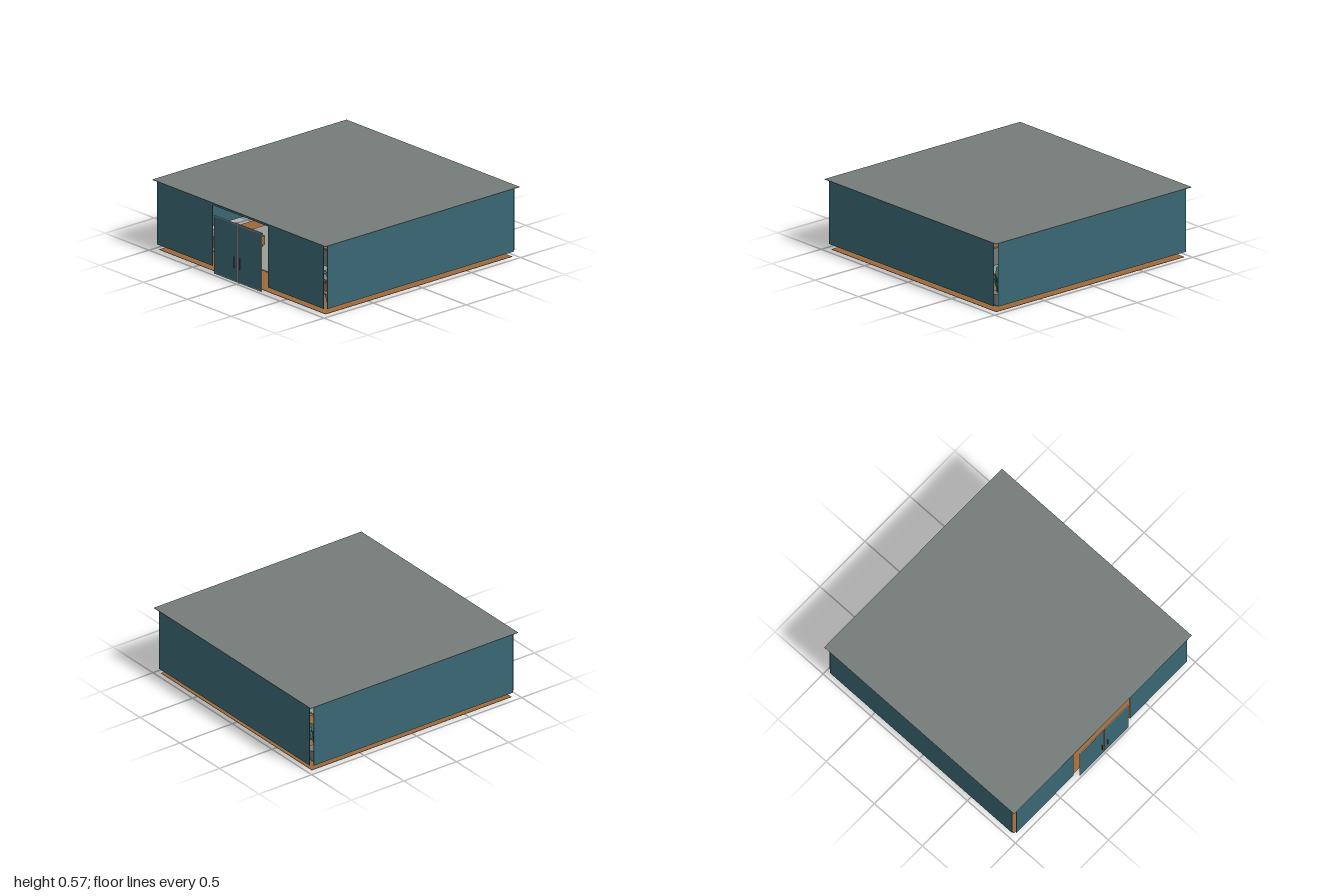
import * as THREE from 'three';

export function createModel() {
  const root = new THREE.Group();
  root.name = 'pavilion';

  const mat = (name, color) => {
    const m = new THREE.MeshStandardMaterial({ color });
    m.name = name;
    return m;
  };
  const teal = mat('teal', 0x3a6873);
  const grey = mat('grey', 0x767c7a);
  const paleGrey = mat('pale grey', 0x9a9c9a);
  const darkGrey = mat('dark grey', 0x4a4e50);
  const wood = mat('wood', 0x9c6a3c);
  const darkWood = mat('dark wood', 0x6e4a32);
  const leaf = mat('leaf', 0x2f6660);
  leaf.side = THREE.DoubleSide;

  const add = (name, geometry, material, x, y, z, parent = root) => {
    const m = new THREE.Mesh(geometry, material);
    m.name = name;
    m.position.set(x, y, z);
    parent.add(m);
    return m;
  };
  // Box given by its ranges on each axis
  const box = (name, material, [x0, x1], [y0, y1], [z0, z1], parent) =>
    add(name, new THREE.BoxGeometry(x1 - x0, y1 - y0, z1 - z0), material,
      (x0 + x1) / 2, (y0 + y1) / 2, (z0 + z1) / 2, parent);

  const mid = -0.01; // centre of the room along z

  // Foundation, floor, rug and roof
  box('foundation', grey, [-0.935, 0.935], [0, 0.002], [mid - 0.935, mid + 0.935]);
  box('floor', wood, [-0.95, 0.95], [0.002, 0.005], [mid - 0.95, mid + 0.95]);
  box('rug', paleGrey, [-0.8, 0.8], [0.005, 0.012], [-0.43, 0.66]);
  box('roof', grey, [-0.988, 0.988], [0.566, 0.57], [-1, 0.975]);

  // Raised walls with open corners
  const bottom = 0.052, top = 0.566;
  const front = new THREE.Shape([
    [-0.95, bottom], [-0.315, bottom], [-0.315, 0.545], [0.315, 0.545],
    [0.315, bottom], [0.95, bottom], [0.95, top], [-0.95, top],
  ].map(([x, y]) => new THREE.Vector2(x, y)));
  add('frontWall', new THREE.ExtrudeGeometry(front, { depth: 0.004, bevelEnabled: false }), teal, 0, 0, 0.958);
  box('backWall', teal, [-0.95, 0.95], [bottom, top], [-0.982, -0.978]);

  for (const s of [-1, 1]) {
    box('sideWall', teal, s < 0 ? [-0.972, -0.968] : [0.968, 0.972], [bottom, top], [-0.957, 0.94]);

    // Door leaf with thin frame and handle
    const door = new THREE.Group();
    door.name = s < 0 ? 'rightDoor' : 'leftDoor';
    door.position.set(s * 0.1375, 0, 0.986);
    root.add(door);
    box('doorPanel', teal, [-0.127, 0.127], [0.018, 0.474], [-0.004, 0.004], door);
    for (const e of [-1, 1])
      add('doorStile', new THREE.BoxGeometry(0.006, 0.472, 0.008), paleGrey, e * 0.13, 0.246, 0, door);
    for (const y of [0.014, 0.478])
      add('doorRail', new THREE.BoxGeometry(0.266, 0.008, 0.008), paleGrey, 0, y, 0, door);
    add('handle', new THREE.BoxGeometry(0.007, 0.09, 0.004), darkWood, -s * 0.107, 0.168, 0.012, door);
    for (const y of [0.13, 0.206])
      add('handleMount', new THREE.BoxGeometry(0.005, 0.006, 0.007), darkWood, -s * 0.107, y, 0.007, door);
  }

  // Central counter
  box('counterBase', grey, [-0.44, 0.44], [0.012, 0.15], [-0.17, 0.25]);
  box('counterTop', wood, [-0.45, 0.45], [0.15, 0.162], [-0.18, 0.27]);

  // Round ceiling lamp with hanging shades
  add('lampDisc', new THREE.CylinderGeometry(0.157, 0.157, 0.038, 40), grey, 0, 0.548, mid);
  for (let i = 0; i < 8; i++) {
    const a = (i + 0.5) * Math.PI / 4;
    add('lampShade', new THREE.CylinderGeometry(0.022, 0.022, 0.05, 16), paleGrey,
      Math.cos(a) * 0.125, 0.505, mid + Math.sin(a) * 0.125);
  }

  // Potted plant with arching leaves
  const potGeo = new THREE.CylinderGeometry(0.055, 0.036, 0.09, 20);
  const saucerGeo = new THREE.CylinderGeometry(0.035, 0.035, 0.008, 20);
  const leafGeo = new THREE.PlaneGeometry(0.03, 0.2, 2, 6);
  const p = leafGeo.attributes.position;
  for (let i = 0; i < p.count; i++) {
    const t = p.getY(i) / 0.2 + 0.5;
    p.setXYZ(i, p.getX(i) * Math.sin(Math.PI * (0.12 + 0.88 * t)), 0.15 * Math.sin(t * 2.1), 0.12 * t * t);
  }
  leafGeo.computeVertexNormals();
  const plant = (x, z) => {
    const g = new THREE.Group();
    g.name = 'pottedPlant';
    g.position.set(x, 0.005, z);
    root.add(g);
    add('saucer', saucerGeo, darkGrey, 0, 0.004, 0, g);
    add('pot', potGeo, grey, 0, 0.053, 0, g);
    for (let i = 0; i < 9; i++) {
      const l = add('leaf', leafGeo, leaf, 0, 0.09, 0, g);
      l.rotation.y = i * Math.PI * 2 / 9;
      l.scale.y = 0.75 + 0.25 * (i % 3);
    }
  };

  for (const s of [-1, 1]) {
    plant(s * 0.83, 0.77);
    plant(s * 0.83, -0.84);

    // Low bench near each front corner
    const bench = new THREE.Group();
    bench.name = 'bench';
    bench.position.set(s * 0.62, 0, 0.485);
    root.add(bench);
    box('benchSeat', wood, [-0.17, 0.17], [0.03, 0.1], [-0.175, 0.175], bench);
    box('benchCushion', grey, [-0.16, 0.16], [0.1, 0.12], [-0.165, 0.165], bench);
    for (const x of [-0.15, 0.15]) for (const z of [-0.155, 0.155])
      add('benchFoot', new THREE.BoxGeometry(0.02, 0.018, 0.02), darkWood, x, 0.021, z, bench);

    // Cabinet along the side
    const c = s * 0.7;
    box('cabinet', darkWood, [c - 0.12, c + 0.12], [0.02, 0.16], [-0.43, -0.17]);
    box('cabinetPlinth', darkGrey, [c - 0.11, c + 0.11], [0.012, 0.02], [-0.42, -0.18]);

    // Round stool
    add('stoolBase', new THREE.CylinderGeometry(0.07, 0.07, 0.008, 24), darkGrey, s * 0.5, 0.009, -0.645);
    add('stoolColumn', new THREE.CylinderGeometry(0.05, 0.05, 0.1, 24), grey, s * 0.5, 0.063, -0.645);
    add('stoolSeat', new THREE.CylinderGeometry(0.075, 0.075, 0.02, 24), wood, s * 0.5, 0.123, -0.645);
  }
  return root;
}
